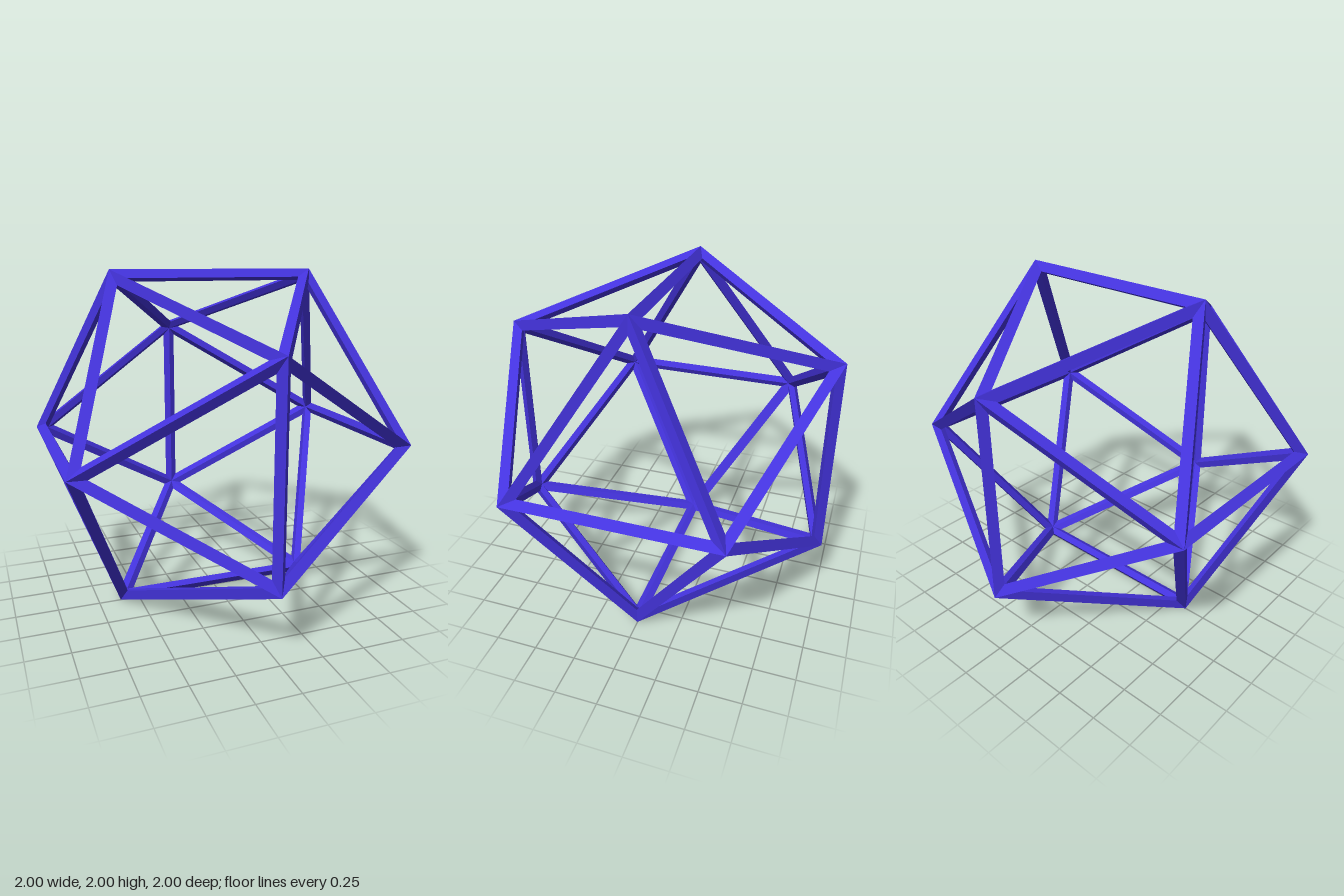
import * as THREE from 'three';

const RADIUS = Math.hypot(1, 0.618); // tip radius of the outer ridges
const HALF = 0.04; // half thickness of a strut

// Twelve corner directions of an icosahedron: three crossed golden rectangles
function cornerDirections() {
  const g = (Math.sqrt(5) - 1) / 2;
  const dirs = [];
  for (const a of [-1, 1]) for (const b of [-g, g]) {
    dirs.push(new THREE.Vector3(b, a, 0), new THREE.Vector3(0, b, a), new THREE.Vector3(a, 0, b));
  }
  return dirs.map((v) => v.normalize());
}

// Diamond-section strut from corner a to corner b; c and d complete the two faces beside it
function strutGeometry(a, b, c, d) {
  const mid = RADIUS - HALF;
  const inradius = (a.distanceTo(b) * mid) / (2 * Math.sqrt(3));
  // Corner of the window cut into a face
  const inset = (p, q, r) => {
    const centre = p.clone().add(q).add(r).multiplyScalar(mid / 3);
    return p.clone().multiplyScalar(mid).lerp(centre, HALF / inradius);
  };
  // Mitred end section: outer ridge, window corner, inner ridge, window corner
  const section = (p, q) => [
    p.clone().multiplyScalar(RADIUS), inset(p, q, c),
    p.clone().multiplyScalar(RADIUS - 2 * HALF), inset(p, q, d),
  ];
  const start = section(a, b);
  const end = section(b, a);
  const points = [];
  for (let i = 0; i < 4; i++) {
    const j = (i + 1) % 4;
    points.push(start[i], start[j], end[j], start[i], end[j], end[i]);
  }
  const geometry = new THREE.BufferGeometry().setFromPoints(points);
  geometry.computeVertexNormals();
  return geometry;
}

export function createModel() {
  const model = new THREE.Group();
  model.name = 'icosahedronFrame';
  const material = new THREE.MeshStandardMaterial({ color: 0x4433dd, flatShading: true });
  const dirs = cornerDirections();
  const adjacent = (p, q) => p !== q && p.dot(q) > 0.4;

  // One strut for each pair of neighbouring corners
  for (let i = 0; i < dirs.length; i++) {
    for (let j = i + 1; j < dirs.length; j++) {
      const a = dirs[i], b = dirs[j];
      if (!adjacent(a, b)) continue;
      const side = b.clone().cross(a);
      const [c, d] = dirs
        .filter((p) => adjacent(p, a) && adjacent(p, b))
        .sort((p, q) => q.dot(side) - p.dot(side));
      const strut = new THREE.Mesh(strutGeometry(a, b, c, d), material);
      strut.name = 'strut';
      strut.position.y = 1;
      model.add(strut);
    }
  }
  return model;
}
